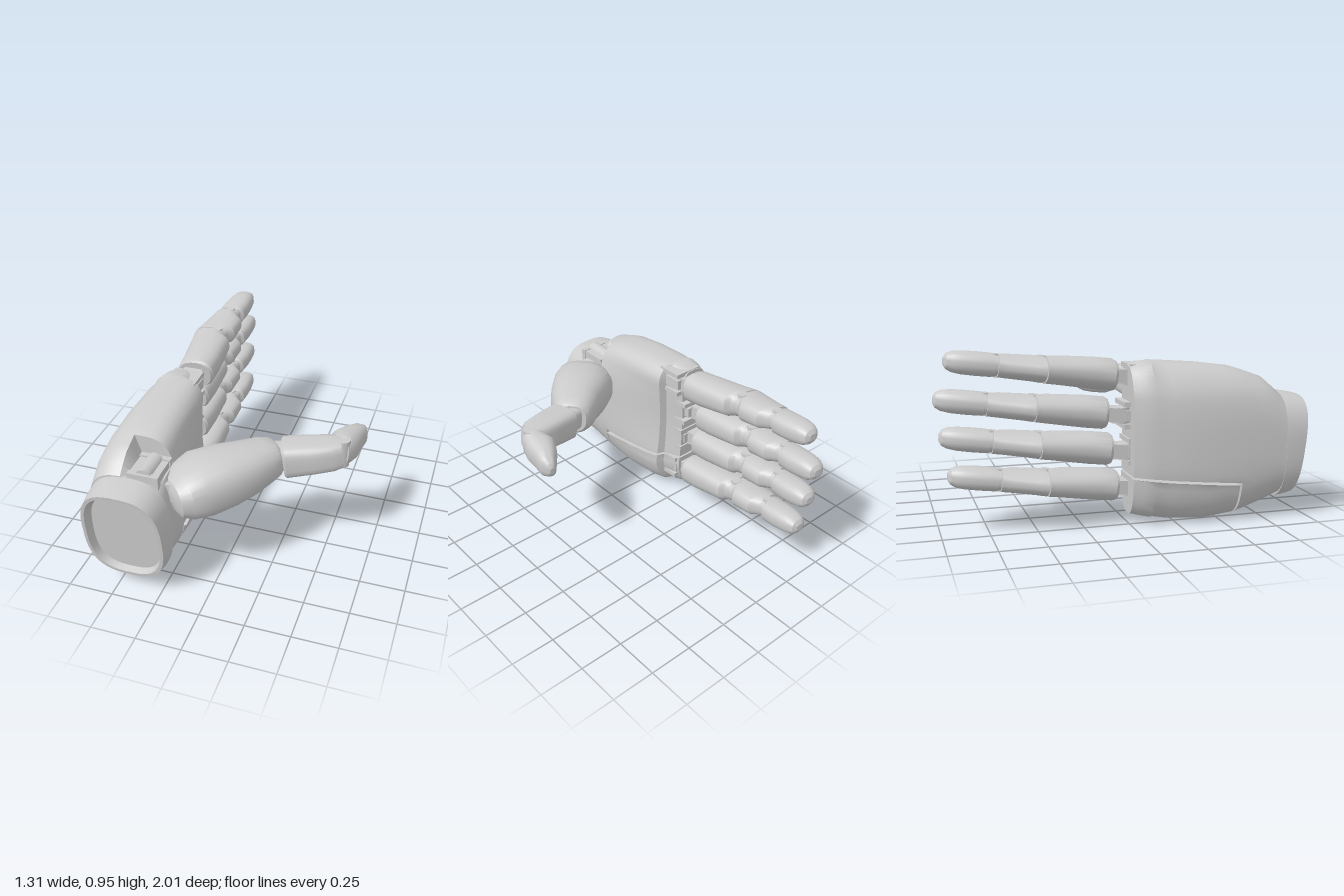
import * as THREE from 'three';
import { toCreasedNormals } from 'three/addons/utils/BufferGeometryUtils.js';

const material = new THREE.MeshStandardMaterial({ color: 0xcccccc });

function addMesh(parent, name, geometry, x = 0, y = 0, z = 0) {
  const mesh = new THREE.Mesh(geometry, material);
  mesh.name = name;
  mesh.position.set(x, y, z);
  parent.add(mesh);
  return mesh;
}
const box = (parent, name, w, h, d, x, y, z) => addMesh(parent, name, new THREE.BoxGeometry(w, h, d), x, y, z);
const pin = (parent, name, r, h, x, y, z) => addMesh(parent, name, toCreasedNormals(new THREE.CylinderGeometry(r, r, h, 16), 0.6), x, y, z);

// Rounded-rectangle cross-section at height z along the loft
function ring(x0, x1, y0, y1, z, power = 3, count = 24) {
  const points = [];
  const bend = (v) => Math.sign(v) * Math.abs(v) ** (2 / power);
  for (let i = 0; i < count; i++) {
    const a = ((i + 0.5) / count) * Math.PI * 2;
    points.push(new THREE.Vector3(
      (x0 + x1) / 2 + bend(Math.cos(a)) * (x1 - x0) / 2,
      (y0 + y1) / 2 + bend(Math.sin(a)) * (y1 - y0) / 2, z));
  }
  return points;
}

// Skin a list of rings and close both ends
function loft(rings, crease = 0.5) {
  const n = rings[0].length, last = (rings.length - 1) * n;
  const points = rings.flat(), index = [];
  for (let r = 0; r < rings.length - 1; r++) {
    for (let i = 0; i < n; i++) {
      const a = r * n + i, b = r * n + (i + 1) % n;
      index.push(a, b, b + n, a, b + n, a + n);
    }
  }
  const middle = (list) => list.reduce((s, p) => s.add(p), new THREE.Vector3()).divideScalar(n);
  points.push(middle(rings[0]), middle(rings[rings.length - 1]));
  for (let i = 0; i < n; i++) {
    const j = (i + 1) % n;
    index.push(points.length - 2, j, i, points.length - 1, last + i, last + j);
  }
  const geometry = new THREE.BufferGeometry().setFromPoints(points);
  geometry.setIndex(index);
  return toCreasedNormals(geometry, crease);
}

// Palm outline: z, back x, palm x, bottom y, top y
const PALM = [
  [0, -0.58, -0.33, 0.06, 0.865], [0.06, -0.605, -0.31, 0.045, 0.88], [0.11, -0.62, -0.3, 0.035, 0.885],
  [0.125, -0.622, -0.25, 0.033, 0.885], [0.2, -0.64, -0.235, 0.02, 0.88], [0.4, -0.658, -0.228, 0.005, 0.865],
  [0.6, -0.66, -0.225, 0.03, 0.838], [0.75, -0.655, -0.215, 0.08, 0.785], [0.85, -0.65, -0.2, 0.12, 0.7],
];

function palmRing(z, shape) {
  let k = 0;
  while (k < PALM.length - 2 && z > PALM[k + 1][0]) k++;
  const t = (z - PALM[k][0]) / (PALM[k + 1][0] - PALM[k][0]);
  const [, x0, x1, y0, y1] = PALM[k].map((v, i) => THREE.MathUtils.lerp(v, PALM[k + 1][i], t));
  const points = ring(x0, x1, y0, y1, z, 3, 64);
  for (const p of points) {
    shape(p);
    // hollow of the palm
    const hollow = Math.max(0, 1 - ((p.y - 0.5) / 0.3) ** 2) * Math.max(0, 1 - z / 0.7);
    if (p.x > -0.45) p.x -= 0.055 * hollow * (p.x + 0.45) / 0.22;
    // the top leans towards the palm side
    p.x += 0.02 * Math.max(0, (p.y - 0.72) / 0.16);
  }
  return points;
}

function addPalm(hand) {
  const seam = (z) => 0.275 - 0.09 * z;
  const main = (cutPad, cutThumb) => (p) => {
    if (cutPad) p.y = Math.max(p.y, seam(p.z) + 0.006);
    if (cutThumb && p.x > -0.42) p.y = Math.min(p.y, 0.68);
  };
  const front = [0, 0.03, 0.06, 0.11, 0.125, 0.2, 0.3, 0.4, 0.5];
  const rings = [...front, 0.59].map((z) => palmRing(z, main(true, false)));
  for (const z of [0.59, 0.645]) rings.push(palmRing(z, main(false, false)));
  for (const z of [0.645, 0.7, 0.75, 0.8, 0.85]) rings.push(palmRing(z, main(false, true)));
  addMesh(hand, 'palm', loft(rings));

  // Separate pad below the little finger
  const pad = [...front, 0.578].map((z) => palmRing(z, (p) => { p.y = Math.min(p.y, seam(z) - 0.006); }));
  addMesh(hand, 'littleFingerPad', loft(pad));

  // Wrist cuff with a slanted, recessed opening: z, inset, top y
  const cuff = [[0.845, 0, 0.695], [0.9, 0, 0.69], [1, 0.01, 0.682], [1, 0.028, 0.682], [0.93, 0.04, 0.67]].map(([z, inset, top]) => {
    const points = ring(-0.652 + inset, -0.188 - inset, 0.1 + inset, top - inset, z, 2.8, 48);
    points.forEach((p) => { p.z -= (0.69 - p.y) * 0.8 * Math.max(0, z - 0.845); });
    return points;
  });
  addMesh(hand, 'wristCuff', loft(cuff));
}

// Finger parts as rows: distance, back x, palm x, half height
const FINGER = {
  proximalShell: [[0, -0.49, -0.3, 0.078], [0.015, -0.5, -0.288, 0.086], [0.12, -0.508, -0.286, 0.086],
    [0.24, -0.522, -0.292, 0.081], [0.33, -0.533, -0.298, 0.077], [0.35, -0.536, -0.325, 0.076], [0.385, -0.54, -0.335, 0.074]],
  middleJoint: [[0.37, -0.52, -0.33, 0.066], [0.44, -0.52, -0.33, 0.064]],
  middleShell: [[0.392, -0.54, -0.35, 0.072], [0.41, -0.538, -0.33, 0.072], [0.44, -0.532, -0.302, 0.07],
    [0.57, -0.502, -0.3, 0.064], [0.595, -0.496, -0.325, 0.063], [0.63, -0.488, -0.34, 0.061]],
  tipJoint: [[0.6, -0.47, -0.335, 0.054], [0.69, -0.465, -0.335, 0.054]],
  fingertip: [[0.645, -0.475, -0.35, 0.058], [0.665, -0.475, -0.315, 0.062], [0.74, -0.466, -0.307, 0.062],
    [0.81, -0.454, -0.308, 0.06], [0.86, -0.437, -0.312, 0.053], [0.887, -0.42, -0.322, 0.04], [0.901, -0.395, -0.345, 0.018]],
};

// spread moves the finger towards the back of the hand, fading to the tip
function addFinger(hand, name, y, z, spread) {
  const finger = new THREE.Group();
  finger.name = name;
  finger.position.set(-spread, y, z);
  finger.lookAt(0, y + 0.113, z - 1);
  hand.add(finger);
  for (const [part, rows] of Object.entries(FINGER)) {
    const rings = rows.map(([d, back, front, h]) => {
      const points = ring(-front, -back, -h, h, d, 2.7);
      // narrower towards the back of the hand
      points.forEach((p) => { p.y *= 1 - 0.25 * Math.max(0, (p.x - 0.4) / 0.12); });
      return points;
    });
    addMesh(finger, part, loft(rings));
  }
  // hinge pins and the link into the knuckle
  pin(finger, 'middlePin', 0.03, 0.142, 0.39, 0, 0.39);
  pin(finger, 'tipPin', 0.025, 0.12, 0.39, 0, 0.64);
  box(finger, 'knuckleLink', 0.11, 0.075, 0.11, 0.4, 0, -0.03);
}

// Forked hinge at the edge of the palm
function addKnuckle(hand, y, z, spread) {
  const knuckle = new THREE.Group();
  knuckle.name = 'knuckle';
  knuckle.position.set(-0.4 - spread, y, z);
  hand.add(knuckle);
  for (const side of [-1, 1]) box(knuckle, 'knuckleCheek', 0.17, 0.026, 0.15, spread / 2, side * 0.059, 0.09);
  pin(knuckle, 'knuckleBarrel', 0.055, 0.085, 0, 0, 0.01);
  box(knuckle, 'knuckleBlock', 0.14, 0.06, 0.13, 0.01, 0, 0.08);
}

// Thumb segment between two points; rows: fraction, half width, half height, offsets
function addThumbPart(thumb, name, from, to, rows, power = 2.5) {
  const start = new THREE.Vector3(...from), end = new THREE.Vector3(...to);
  const length = start.distanceTo(end);
  const mesh = addMesh(thumb, name, loft(rows.map(([t, w, h, dx = 0, dy = 0]) =>
    ring(dx - w, dx + w, dy - h, dy + h, t * length, power))), ...from);
  mesh.lookAt(end);
}

function addThumb(hand) {
  const thumb = new THREE.Group();
  thumb.name = 'thumb';
  hand.add(thumb);
  // hinge sunk into the top of the palm
  for (const z of [0.665, 0.83]) box(thumb, 'thumbCheek', 0.17, 0.11, 0.03, -0.335, 0.67, z);
  box(thumb, 'thumbHingeBlock', 0.16, 0.1, 0.13, -0.335, 0.67, 0.75);
  pin(thumb, 'thumbHingePin', 0.045, 0.16, -0.335, 0.705, 0.75).rotation.x = Math.PI / 2;
  box(thumb, 'thumbLink', 0.18, 0.11, 0.12, -0.24, 0.6, 0.73);

  addThumbPart(thumb, 'thumbBase', [-0.23, 0.575, 0.77], [0.218, 0.63, 0.335], [
    [0, 0.07, 0.06, -0.03], [0.03, 0.12, 0.095, -0.03], [0.12, 0.165, 0.13, -0.015], [0.28, 0.188, 0.155],
    [0.5, 0.175, 0.152, -0.005], [0.7, 0.15, 0.136, -0.01], [0.88, 0.126, 0.115], [0.97, 0.105, 0.1], [1, 0.085, 0.085]]);
  addThumbPart(thumb, 'thumbJoint', [0.18, 0.63, 0.365], [0.3, 0.638, 0.325], [[0, 0.07, 0.07], [1, 0.07, 0.07]], 4);
  addThumbPart(thumb, 'thumbMiddle', [0.26, 0.633, 0.347], [0.56, 0.675, 0.265], [
    [0, 0.09, 0.088], [0.04, 0.1, 0.095], [0.5, 0.096, 0.088], [0.85, 0.085, 0.083], [1, 0.065, 0.075]], 4);
  pin(thumb, 'thumbTipPin', 0.045, 0.16, 0.555, 0.668, 0.25);
  addThumbPart(thumb, 'thumbTip', [0.555, 0.66, 0.27], [0.615, 0.64, -0.025], [
    [0, 0.045, 0.07, 0, 0.01], [0.12, 0.065, 0.085, 0.005, 0.01], [0.35, 0.086, 0.088, 0.022], [0.6, 0.068, 0.082, 0.015],
    [0.82, 0.05, 0.068], [0.95, 0.03, 0.045], [1, 0.012, 0.02]]);
}

export function createModel() {
  const hand = new THREE.Group();
  hand.name = 'mechanicalHand';
  addPalm(hand);
  const fingers = [
    ['indexFinger', 0.807, -0.06, 0], ['middleFinger', 0.612, -0.1, 0.055],
    ['ringFinger', 0.415, -0.075, 0.055], ['littleFinger', 0.205, -0.05, 0.015],
  ];
  for (const [name, y, z, spread] of fingers) {
    addFinger(hand, name, y, z, spread);
    addKnuckle(hand, y - 0.01, z + 0.05, spread);
  }
  addThumb(hand);
  return hand;
}
